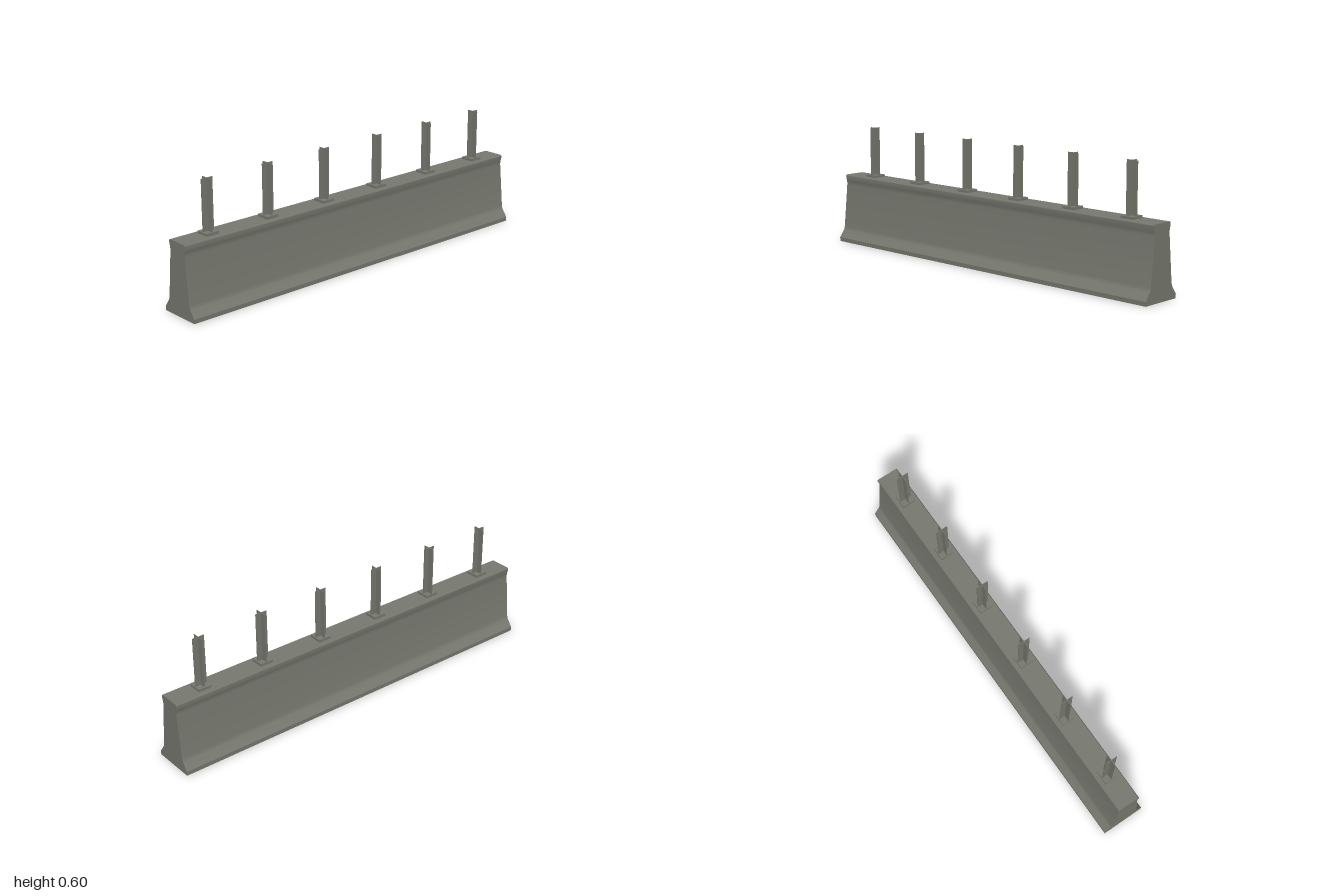
import * as THREE from 'three';
import { toCreasedNormals } from 'three/addons/utils/BufferGeometryUtils.js';

export function createModel() {
  const group = new THREE.Group();
  const concrete = new THREE.MeshStandardMaterial({ color: 0x77786f, side: THREE.DoubleSide });
  concrete.name = 'grey concrete';

  const add = (parent, name, geometry, x = 0, y = 0, z = 0) => {
    const mesh = new THREE.Mesh(geometry, concrete);
    mesh.name = name;
    mesh.position.set(x, y, z);
    parent.add(mesh);
    return mesh;
  };

  // Half profile of the barrier as (z, y), from foot to top lip, then mirrored
  const half = [
    [0.105, 0], [0.105, 0.02], [0.08, 0.055], [0.0755, 0.063], [0.0725, 0.075],
    [0.051, 0.29], [0.0503, 0.3], [0.0515, 0.31], [0.0565, 0.33], [0.057, 0.337],
    [0.0555, 0.342], [0.052, 0.345],
  ];
  const profile = [...half, ...half.map(([z, y]) => [-z, y]).reverse()];

  // Long walls and top, open underneath
  const positions = [];
  for (let i = 0; i < profile.length - 1; i++) {
    const [z0, y0] = profile[i];
    const [z1, y1] = profile[i + 1];
    positions.push(-1, y0, z0, 1, y0, z0, 1, y1, z1);
    positions.push(-1, y0, z0, 1, y1, z1, -1, y1, z1);
  }
  const wall = new THREE.BufferGeometry();
  wall.setAttribute('position', new THREE.Float32BufferAttribute(positions, 3));
  add(group, 'barrierWall', toCreasedNormals(wall, 0.6));

  // Flat end faces
  const endShape = new THREE.Shape(profile.map(([z, y]) => new THREE.Vector2(z, y)));
  for (const side of [-1, 1]) {
    const end = new THREE.ShapeGeometry(endShape).rotateY(side * Math.PI / 2);
    add(group, side > 0 ? 'leftEnd' : 'rightEnd', end, side);
  }

  // Six cross-shaped posts on square base plates
  const plate = new THREE.BoxGeometry(0.066, 0.012, 0.066);
  const bladeX = new THREE.BoxGeometry(0.06, 0.241, 0.003);
  const bladeZ = new THREE.BoxGeometry(0.003, 0.241, 0.06);
  for (let i = 0; i < 6; i++) {
    const post = new THREE.Group();
    post.name = 'post';
    post.position.x = (i - 2.5) / 3;
    add(post, 'basePlate', plate, 0, 0.351, 0);
    add(post, 'crossBlade', bladeX, 0, 0.4775, 0);
    add(post, 'depthBlade', bladeZ, 0, 0.4775, 0);
    group.add(post);
  }
  return group;
}
